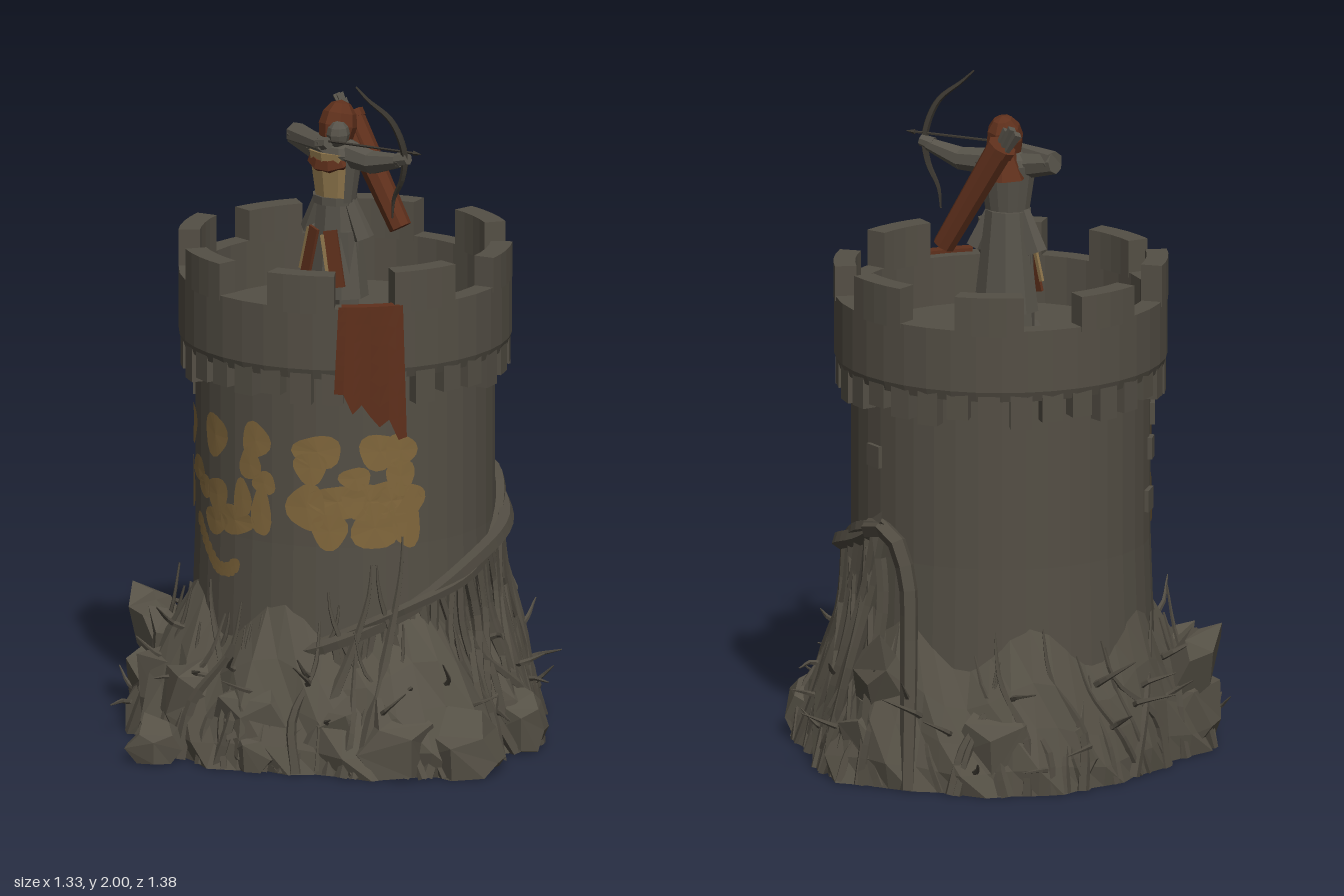
import * as THREE from 'three';
import { mergeGeometries } from 'three/addons/utils/BufferGeometryUtils.js';

const mat = (name, color, extra = {}) =>
  Object.assign(new THREE.MeshStandardMaterial({ color, flatShading: true, ...extra }), { name });
const V = (x, y, z) => new THREE.Vector3(x, y, z);
const rad = THREE.MathUtils.degToRad;
const CX = -0.035, CZ = -0.065, WALL = 0.44;

// Point around the tower axis; angle in degrees from the front (+z) towards +x
const around = (deg, r, y) => V(CX + r * Math.sin(rad(deg)), y, CZ + r * Math.cos(rad(deg)));

// Outline of the rubble foot: [angle, radius]
const FOOT = [[-180, 0.57], [-146, 0.6], [-132, 0.57], [-105, 0.53], [-82, 0.53], [-72, 0.58], [-62, 0.64], [-42, 0.63], [-25, 0.64],
  [-9, 0.62], [6, 0.65], [15, 0.6], [28, 0.6], [44, 0.65], [60, 0.68], [73, 0.7], [84, 0.64], [90, 0.56], [98, 0.62], [104, 0.63],
  [114, 0.58], [131, 0.55], [140, 0.59], [160, 0.63], [171, 0.6], [180, 0.57]];
function foot(deg) {
  const a = ((deg + 180) % 360 + 360) % 360 - 180;
  const i = Math.max(1, FOOT.findIndex(f => f[0] >= a)), [a0, r0] = FOOT[i - 1], [a1, r1] = FOOT[i];
  return r0 + (r1 - r0) * (a - a0) / (a1 - a0);
}
// Surface of the mound between foot (k = 1) and wall (k = 0)
const slope = (deg, k, y) => around(deg, WALL + 0.005 + (foot(deg) - WALL) * k, y);

// Wrap a geometry round the tower: x is an angle in radians, z is a radius
function bend(geo) {
  const p = geo.attributes.position;
  for (let i = 0; i < p.count; i++) {
    const a = p.getX(i), r = p.getZ(i);
    p.setXYZ(i, r * Math.sin(a), p.getY(i), r * Math.cos(a));
  }
  geo.translate(CX, 0, CZ).computeVertexNormals();
  return geo;
}
const arcBlock = (deg, halfDeg, y0, y1, r0, r1, seg = 4) => bend(
  new THREE.BoxGeometry(rad(halfDeg * 2), y1 - y0, r1 - r0, seg, 1, 1)
    .translate(rad(deg), (y0 + y1) / 2, (r0 + r1) / 2));

// Tube whose radius follows a rule along its length
function taperTube(points, radiusAt, n = 12, sides = 5) {
  const curve = new THREE.CatmullRomCurve3(points);
  const geo = new THREE.TubeGeometry(curve, n, 1, sides);
  const p = geo.attributes.position, v = V(0, 0, 0);
  for (let i = 0; i < p.count; i++) {
    const t = Math.floor(i / (sides + 1)) / n, c = curve.getPointAt(t);
    v.fromBufferAttribute(p, i).sub(c).multiplyScalar(radiusAt(t)).add(c);
    p.setXYZ(i, v.x, Math.max(v.y, 0), v.z);
  }
  geo.computeVertexNormals();
  return geo;
}

// Angular boulder cut off at the ground
function rockGeo([x, y, z, sx, sy, sz, turn = 0, tilt = 0]) {
  const geo = new THREE.DodecahedronGeometry(1.04, 0), p = geo.attributes.position;
  for (let i = 0; i < p.count; i++) {
    const a = p.getX(i), b = p.getY(i), c = p.getZ(i);
    const k = 0.95 + 0.17 * Math.sin(a * 4.1 + x * 30) * Math.cos(b * 3.3 + z * 20) + 0.08 * Math.sin(c * 5 + y * 40);
    p.setXYZ(i, a * k, b * k, c * k);
  }
  geo.scale(sx, sy, sz).rotateY(turn).rotateZ(tilt).translate(x, y, z);
  for (let i = 0; i < p.count; i++) p.setY(i, Math.max(0, p.getY(i)));
  geo.computeVertexNormals();
  return geo;
}

export function createModel() {
  const stone = mat('stone', 0x544f45), rubble = mat('rubble', 0x565146), root = mat('root', 0x504b41);
  const paint = mat('ochre paint', 0x81673c, { side: THREE.DoubleSide });
  const cloth = mat('rust cloth', 0x5f301c, { side: THREE.DoubleSide });
  const tunic = mat('tan tunic', 0x90774c), coat = mat('grey coat', 0x57534a), dark = mat('dark wood', 0x3a362f);
  const model = new THREE.Group();
  const add = (name, geo, material, parent = model) => {
    const m = new THREE.Mesh(geo, material);
    m.name = name;
    parent.add(m);
    return m;
  };
  let seed = 7;
  const rnd = (a, b) => {
    seed = (seed * 16807) % 2147483647;
    return a + (b - a) * seed / 2147483647;
  };
  const lathe = (pts, n) => new THREE.LatheGeometry(pts.map(q => new THREE.Vector2(...q)), n).translate(CX, 0, CZ);

  // Tower shaft, parapet ring and sunken floor
  add('towerWall', lathe([[0.46, 0], [0.45, 0.35], [WALL, 0.65], [WALL, 1.19]], 40), stone);
  add('parapet', lathe([[0.43, 1.17], [0.48, 1.17], [0.49, 1.2], [0.49, 1.385], [0.43, 1.385], [0.43, 1.24], [0, 1.24]], 40), stone);
  for (let i = 0; i < 8; i++)
    add('merlon', arcBlock(22.5 + i * 45, 12, 1.37, 1.485 + 0.01 * Math.sin(i * 2.3), 0.428, 0.492), stone);
  const corbels = [];
  for (let i = 0; i < 32; i++) corbels.push(arcBlock(i * 11.25, 3.8, 1.1 + 0.015 * Math.sin(i * 1.9), 1.19, 0.42, 0.485, 1));
  add('corbels', mergeGeometries(corbels), stone);

  // Broken stones standing slightly proud of the wall
  [[-72, 0.93], [-76, 0.78], [-64, 1.02], [150, 0.95]].forEach(([a, y], i) =>
    add('brokenStone', arcBlock(a, 3 + i % 2, y - 0.035, y + 0.03, 0.42, 0.453, 1), stone));

  // Paint patches: [x, y, half width, half height] on the front of the wall
  const blobs = [
    [-0.36, 0.93, 0.045, 0.06], [-0.19, 0.94, 0.055, 0.065], [-0.02, 0.955, 0.05, 0.055], [-0.04, 0.88, 0.04, 0.05],
    [0.01, 0.83, 0.04, 0.035], [0.17, 0.94, 0.065, 0.05], [0.15, 0.89, 0.045, 0.05], [0.31, 0.94, 0.04, 0.055],
    [0.345, 0.94, 0.025, 0.05], [-0.375, 0.74, 0.04, 0.08], [-0.3, 0.81, 0.05, 0.038], [-0.25, 0.77, 0.035, 0.035],
    [-0.18, 0.76, 0.05, 0.055], [-0.19, 0.68, 0.055, 0.04], [-0.1, 0.7, 0.07, 0.045], [-0.07, 0.77, 0.035, 0.06],
    [0.0, 0.74, 0.035, 0.075], [0.14, 0.77, 0.055, 0.07], [0.22, 0.79, 0.07, 0.05], [0.2, 0.7, 0.045, 0.055],
    [0.29, 0.79, 0.06, 0.055], [0.33, 0.79, 0.05, 0.055], [0.3, 0.71, 0.045, 0.07], [0.355, 0.72, 0.02, 0.08],
    [0.26, 0.86, 0.035, 0.035], [0.345, 0.86, 0.022, 0.055], [0.365, 0.79, 0.014, 0.045]];
  for (let t = 0; t <= 1; t += 0.1) // curved brush stroke
    blobs.push([-0.28 + 0.18 * t, 0.66 - 0.12 * Math.sin(t * 2.2), 0.022, 0.022]);
  add('paintPatches', mergeGeometries(blobs.map(([x, y, w, h], k) => {
    const s = (x - CX) / WALL, geo = new THREE.CircleGeometry(1, 18), p = geo.attributes.position;
    for (let i = 1; i < p.count; i++) {
      const a = Math.atan2(p.getY(i), p.getX(i)), f = 1 + 0.1 * Math.sin(a * 3 + k);
      p.setXY(i, p.getX(i) * f, p.getY(i) * f);
    }
    return bend(geo.scale(w / WALL / Math.sqrt(1 - s * s), h, 1).translate(Math.asin(s), y, WALL + 0.006));
  })), paint);

  // Torn banner hung over the parapet
  const flag = new THREE.PlaneGeometry(rad(25), 1, 8, 6), fp = flag.attributes.position;
  for (let i = 0; i < fp.count; i++) {
    const u = fp.getX(i) / rad(25) + 0.5, t = 0.5 - fp.getY(i);
    const low = 1.13 - 0.14 * u + 0.025 * Math.sin(u * 19);
    fp.setXYZ(i, fp.getX(i) * (0.88 + 0.12 * t) + rad(47), 1.395 + (low - 1.395) * t, 0.503 + 0.008 * Math.sin(u * 9) * t - 0.006 * t);
  }
  add('banner', bend(flag), cloth);
  add('bannerFold', arcBlock(47, 10, 1.385, 1.395, 0.465, 0.503), cloth);

  // Earth mound around the foot, following the outline
  const profile = [[0.96, 0], [0.92, 0.07], [0.7, 0.17], [0.42, 0.28], [0, 0.41]];
  const mound = lathe([[0, 0], ...profile], 48), mp = mound.attributes.position;
  for (let i = 0; i < mp.count; i++) {
    const row = i % 6, j = Math.floor(i / 6) % 48, deg = j * 7.5;
    if (row === 0) continue;
    const [k, y] = profile[row - 1];
    const q = slope(deg, k * (1 + 0.12 * Math.sin(j * 2.1 + row * 1.7)), y * (1 + 0.15 * Math.sin(rad(deg) * 7)));
    mp.setXYZ(i, q.x, q.y, q.z);
  }
  add('mound', mound, rubble);

  // Boulders: x, y, z, sizes, turn, tilt
  [[0.57, 0.04, 0.14, 0.15, 0.15, 0.14, 0.4], [0.42, 0.07, 0.27, 0.15, 0.15, 0.14, 1], [0.54, 0.06, -0.18, 0.09, 0.13, 0.09, 0.6],
    [-0.53, 0.25, 0.17, 0.075, 0.17, 0.1, 0.3, 0.5], [-0.5, 0.08, 0.2, 0.12, 0.16, 0.13], [-0.21, 0.04, 0.6, 0.095, 0.09, 0.09, 0.5],
    [0.03, 0.1, 0.44, 0.14, 0.17, 0.12, 0.2], [-0.2, 0.12, 0.42, 0.12, 0.18, 0.11, 0.9], [-0.37, 0.12, 0.32, 0.12, 0.18, 0.12, 1.4],
    [0.26, 0.08, 0.34, 0.12, 0.16, 0.1], [-0.25, 0.1, -0.5, 0.15, 0.18, 0.11, 0.2], [0.13, 0.08, -0.53, 0.14, 0.19, 0.11, 2],
    [-0.05, 0.07, -0.51, 0.13, 0.17, 0.09], [0.28, 0.1, -0.42, 0.1, 0.16, 0.1, 1], [-0.45, 0.07, -0.17, 0.08, 0.14, 0.1],
    [-0.41, 0.09, -0.34, 0.09, 0.16, 0.1], [0.4, 0.07, -0.28, 0.08, 0.13, 0.08], [0.08, 0.04, 0.5, 0.08, 0.12, 0.07],
    [-0.42, 0.22, 0.26, 0.07, 0.15, 0.07, 0.8, 0.4]]
    .forEach(r => add('boulder', rockGeo(r), rubble));
  const slab = add('leaningSlab', rockGeo([0, 0, 0, 0.1, 0.21, 0.06]), rubble);
  slab.position.set(0.12, 0.25, -0.545);
  slab.rotation.x = -0.4;

  // Roots: a thick diagonal bough on the right side, with strands hanging from it
  const vines = [];
  const vine = (pts, r0, r1 = 0.003, n = 12) => vines.push(taperTube(pts, t => r0 + (r1 - r0) * t, n));
  const boughY = a => 0.36 + (a - 30) / 130 * 0.4;
  const bough = off => [10, 30, 60, 90, 120, 145, 160].map((a, i) => around(a, 0.46 + 0.012 * Math.sin(i * 2 + off), boughY(a) + 0.014 * Math.cos(i * 2 + off)));
  vine(bough(0), 0.02, 0.03, 30);
  vine(bough(3), 0.014, 0.022, 30);
  vine([around(150, 0.465, 0.73), around(163, 0.47, 0.74), around(171, 0.475, 0.62), around(174, 0.5, 0.4), slope(178, 0.95, 0)], 0.03, 0.025);
  for (let i = 0; i < 42; i++) {
    const a = 30 + i * 3.1 + rnd(-3, 3), y = boughY(a), d = rnd(-24, 18);
    vine([around(a, 0.455, y), slope(a + d * 0.2 + rnd(-4, 4), 0.15, y * 0.72), slope(a + d * 0.8 + rnd(-5, 5), 0.55, y * 0.36),
      slope(a + d, rnd(0.75, 1.05), 0)], rnd(0.009, 0.018), rnd(0.009, 0.02));
  }
  // Climbing shoots all the way round
  for (let i = 0; i < 64; i++) {
    const a = i * 5.625 + rnd(-4, 4), top = rnd(0.22, 0.48), d = rnd(-26, 26);
    vine([slope(a, rnd(0.8, 1.02), 0), slope(a + d * 0.2 + rnd(-4, 4), 0.75, top * 0.35), slope(a + d * 0.8, 0.35, top * 0.7),
      slope(a + d, rnd(0.03, 0.25), top)], rnd(0.013, 0.024));
  }
  // Thorny twigs pointing outwards
  for (let i = 0; i < 36; i++) {
    const a = i * 10 + rnd(-4, 4), y = rnd(0.05, 0.34), k = 0.95 - y * 2;
    const tip = slope(a + rnd(-9, 9), k, y + rnd(0.02, 0.1)), out = around(a, rnd(0.07, 0.12), 0);
    vine([slope(a, k - 0.15, y), slope(a + rnd(-4, 4), k + 0.15, y + 0.02), V(tip.x + out.x - CX, tip.y, tip.z + out.z - CZ)], 0.012, 0.002, 6);
  }
  // Tall shoots on the front
  [[-8, 0.5, -14], [-20, 0.42, 10], [-42, 0.44, -8], [22, 0.48, 14], [38, 0.6, 10], [46, 0.52, -14], [52, 0.68, 8], [60, 0.6, -10]].forEach(([a, y, d]) =>
    vine([slope(a - d, 0.8, 0.08), slope(a + d * 0.2, 0.2, y * 0.55), around(a + d * 0.9, 0.46, y * 0.85), around(a + d, 0.455, y)], 0.026));
  add('roots', mergeGeometries(vines), root);

  // Archer
  const archer = new THREE.Group();
  archer.name = 'archer';
  model.add(archer);
  const limb = (name, a, b, r0, r1, m, sides = 7) => {
    const d = b.clone().sub(a), o = add(name, new THREE.CylinderGeometry(r1, r0, d.length(), sides), m, archer);
    o.position.copy(a).addScaledVector(d, 0.5);
    o.quaternion.setFromUnitVectors(V(0, 1, 0), d.normalize());
  };
  const sx = -0.03;
  for (const s of [-1, 1]) {
    limb('leg', V(sx + s * 0.05, 1.24, -0.01), V(sx + s * 0.035, 1.52, -0.01), 0.035, 0.045, coat);
    limb('boot', V(sx + s * 0.05, 1.255, -0.02), V(sx + s * 0.055, 1.255, 0.06), 0.028, 0.02, coat);
    // Cloth strip with a tan trim hanging over each thigh
    const strip = new THREE.Group();
    strip.name = 'coatStrip';
    strip.position.set(sx + s * 0.047, 1.445, 0.054);
    strip.rotation.set(-0.1, s * 0.3, s * 0.22);
    archer.add(strip);
    add('stripCloth', new THREE.BoxGeometry(0.042, 0.17, 0.009), cloth, strip);
    add('stripTrim', new THREE.BoxGeometry(0.012, 0.13, 0.009).translate(-0.026, 0.01, 0), tunic, strip);
    limb('coatTail', V(sx + s * 0.1, 1.5, -0.02), V(sx + s * 0.05, 1.62, -0.01), 0.032, 0.02, coat, 5);
  }
  add('coatSkirt', new THREE.CylinderGeometry(0.064, 0.1, 0.3, 9).scale(1, 1, 0.8).translate(sx, 1.47, -0.02), coat, archer);
  add('torso', new THREE.CylinderGeometry(0.085, 0.062, 0.15, 9).scale(1, 1, 0.75).translate(sx + 0.005, 1.685, 0), tunic, archer);
  add('coatBack', new THREE.CylinderGeometry(0.09, 0.067, 0.15, 10, 1, false, Math.PI * 0.32, Math.PI * 1.36).scale(1, 1, 0.85).translate(sx + 0.005, 1.685, -0.002), coat, archer);
  add('shoulders', new THREE.SphereGeometry(1, 9, 6).scale(0.1, 0.045, 0.062).translate(sx + 0.01, 1.755, -0.005), coat, archer);
  add('belt', new THREE.CylinderGeometry(0.068, 0.066, 0.025, 9).scale(1, 1, 0.78).translate(sx, 1.612, 0), coat, archer);
  add('scarf', new THREE.TorusGeometry(0.06, 0.024, 5, 10).rotateX(Math.PI / 2 + 0.45).scale(1, 1, 0.8).translate(sx + 0.005, 1.745, 0.006), cloth, archer);
  add('hood', new THREE.SphereGeometry(0.058, 8, 6).scale(0.95, 1.3, 1.05).rotateX(-0.25).translate(-0.022, 1.832, -0.013), cloth, archer);
  add('hoodDrape', new THREE.ConeGeometry(0.085, 0.16, 7).scale(0.9, 1, 0.85).translate(-0.03, 1.805, -0.05), cloth, archer);
  add('face', new THREE.SphereGeometry(0.04, 8, 6).scale(0.85, 1.05, 0.9).translate(0.006, 1.816, 0.021), coat, archer);
  // Arms: bow arm stretched to the left, drawing arm folded back
  limb('bowUpperArm', V(0.04, 1.755, 0), V(0.14, 1.748, 0.015), 0.04, 0.034, coat);
  limb('bowForearm', V(0.13, 1.748, 0.015), V(0.25, 1.775, 0.03), 0.036, 0.02, coat);
  limb('bowHand', V(0.235, 1.775, 0.03), V(0.275, 1.785, 0.03), 0.022, 0.018, coat);
  limb('drawUpperArm', V(-0.08, 1.755, 0), V(-0.19, 1.778, -0.02), 0.04, 0.032, coat);
  limb('drawForearm', V(-0.185, 1.78, -0.02), V(-0.02, 1.785, 0.055), 0.034, 0.022, coat);
  limb('drawHand', V(-0.04, 1.785, 0.05), V(0.0, 1.795, 0.06), 0.022, 0.018, coat);
  limb('arrow', V(-0.04, 1.8, 0.06), V(0.3, 1.806, 0.03), 0.004, 0.004, dark, 5);
  limb('arrowHead', V(0.295, 1.806, 0.03), V(0.325, 1.806, 0.03), 0.008, 0.0005, dark, 4);
  add('bow', taperTube([V(0.135, 1.995, 0.1), V(0.17, 1.96, 0.09), V(0.235, 1.9, 0.06), V(0.265, 1.8, 0.035), V(0.25, 1.72, 0.025),
    V(0.21, 1.65, 0.015), V(0.2, 1.59, 0.01)], t => 0.003 + 0.008 * Math.sin(t * Math.PI), 24), dark, archer);
  // Quiver slung across the back
  limb('quiver', V(0.12, 1.52, -0.13), V(-0.06, 1.83, -0.12), 0.034, 0.042, cloth, 8);
  limb('quiverRim', V(-0.055, 1.82, -0.12), V(-0.067, 1.84, -0.12), 0.045, 0.045, cloth, 8);
  for (const s of [-1, 0, 1])
    limb('spareArrow', V(-0.05 + s * 0.02, 1.8, -0.12 + s * 0.01), V(-0.1 + s * 0.025, 1.895 - Math.abs(s) * 0.01, -0.12 + s * 0.015), 0.006, 0.015, coat, 4);
  return model;
}
